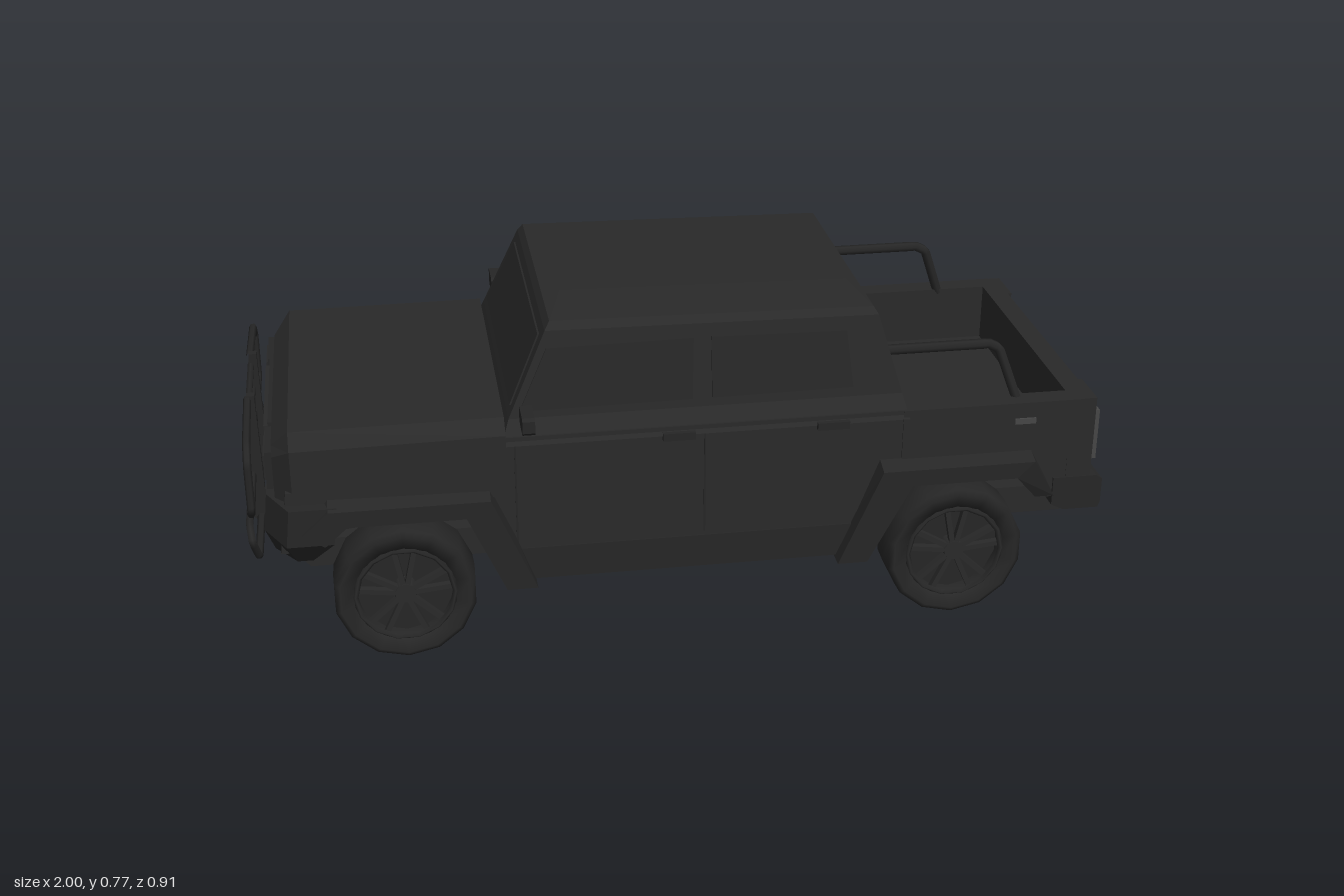
import * as THREE from 'three';

const mat = (name, color) => Object.assign(new THREE.MeshStandardMaterial({ color }), { name });
const V = (x, y, z) => new THREE.Vector3(x, y, z);

export function createModel() {
  const root = new THREE.Group();
  root.name = 'pickupTruck';
  const paint = mat('body paint', 0x292929);
  const trim = mat('dark trim', 0x262626);
  const glass = mat('tinted glass', 0x272727);
  const lamp = mat('lamp grey', 0x464646);

  const add = (name, geo, material, parent = root) => {
    const m = new THREE.Mesh(geo, material);
    m.name = name;
    parent.add(m);
    return m;
  };
  // box given by its limits on each axis
  const box = (name, x0, x1, y0, y1, z0, z1, material, parent) => {
    const g = new THREE.BoxGeometry(x1 - x0, y1 - y0, z1 - z0);
    g.translate((x0 + x1) / 2, (y0 + y1) / 2, (z0 + z1) / 2);
    return add(name, g, material, parent);
  };
  // side outline extruded across z
  const slab = (pts, z0, z1) => {
    const s = new THREE.Shape(pts.map(p => new THREE.Vector2(p[0], p[1])));
    return new THREE.ExtrudeGeometry(s, { depth: z1 - z0, bevelEnabled: false }).translate(0, 0, z0);
  };
  // move every vertex by a rule
  const bend = (g, rule) => {
    const p = g.attributes.position;
    for (let i = 0; i < p.count; i++) p.setXYZ(i, ...rule(p.getX(i), p.getY(i), p.getZ(i)));
    g.computeVertexNormals();
    return g;
  };
  // flat-sided skin through matching rings, closed at both ends
  const loft = rings => {
    const out = [], n = rings[0].length;
    const tri = (...ps) => ps.forEach(p => out.push(...p));
    for (let k = 0; k + 1 < rings.length; k++)
      for (let i = 0; i < n; i++) {
        const j = (i + 1) % n, a = rings[k], b = rings[k + 1];
        tri(a[i], a[j], b[j]);
        tri(a[i], b[j], b[i]);
      }
    const first = rings[0], last = rings[rings.length - 1];
    for (let i = 1; i + 1 < n; i++) {
      tri(first[0], first[i + 1], first[i]);
      tri(last[0], last[i], last[i + 1]);
    }
    const g = new THREE.BufferGeometry();
    g.setAttribute('position', new THREE.Float32BufferAttribute(out, 3));
    g.computeVertexNormals();
    return g;
  };
  const tube = (name, pts, r, parent = root) => {
    const path = new THREE.CurvePath();
    for (let i = 0; i + 1 < pts.length; i++) path.add(new THREE.LineCurve3(V(...pts[i]), V(...pts[i + 1])));
    return add(name, new THREE.TubeGeometry(path, 40, r, 6), trim, parent);
  };

  // lower body, open right across above the wheels
  add('lowerBody', slab([
    [-0.45, 0.22], [0.45, 0.22], [0.5, 0.35], [0.79, 0.35], [0.84, 0.27], [0.95, 0.27], [0.95, 0.38],
    [0.51, 0.38], [0.51, 0.52], [-0.42, 0.52], [-0.42, 0.42], [-0.9, 0.42], [-0.92, 0.27],
    [-0.83, 0.27], [-0.79, 0.35], [-0.5, 0.35],
  ], -0.375, 0.375), paint);
  // belly running between the wheels
  add('belly', slab([[-0.86, 0.18], [0.93, 0.18], [0.97, 0.25], [0.94, 0.28], [0.84, 0.25], [-0.83, 0.25], [-0.9, 0.28], [-0.92, 0.25]],
    -0.28, 0.28), paint);

  // hood and front fenders
  const hoodRing = (x, yb, ys, yt, hz, ht) =>
    [[x, yb, -hz], [x, ys, -hz], [x, yt, -ht], [x, yt, ht], [x, ys, hz], [x, yb, hz]];
  add('hood', loft([
    hoodRing(-0.925, 0.38, 0.49, 0.51, 0.33, 0.31),
    hoodRing(-0.885, 0.38, 0.52, 0.558, 0.375, 0.35),
    hoodRing(-0.41, 0.38, 0.53, 0.56, 0.385, 0.35),
  ]), paint);

  // cab with inward leaning sides and a roof falling to the rear
  const cabRing = (y, x0, x1, hz, drop = 0) =>
    [[x1, y - drop, -hz], [x0, y, -hz], [x0, y, hz], [x1, y - drop, hz]];
  add('cab', loft([
    cabRing(0.5, -0.42, 0.515, 0.38), cabRing(0.555, -0.4, 0.5, 0.352),
    cabRing(0.75, -0.312, 0.445, 0.323, 0.01), cabRing(0.768, -0.3, 0.435, 0.31, 0.012), cabRing(0.775, -0.26, 0.41, 0.15, 0.013),
  ]), paint);

  // side glass, leaning with the cab
  const windows = [
    ['frontSideWindow', [[-0.375, 0.572], [0.015, 0.575], [0.02, 0.715], [-0.31, 0.712]]],
    ['rearSideWindow', [[0.06, 0.575], [0.385, 0.578], [0.37, 0.71], [0.06, 0.715]]],
  ];
  for (const s of [1, -1])
    for (const [name, pts] of windows)
      add(name, bend(slab(pts, -0.004, 0.004), (x, y, z) => [x, y, z + s * (0.351 - (y - 0.56) * 0.149)]), glass);
  // windscreen
  add('windscreen', loft([cabRing(0.575, -0.395, -0.387, 0.32), cabRing(0.73, -0.325, -0.317, 0.29)]), glass);

  // cargo bed
  box('tailgate', 0.9, 0.95, 0.3, 0.52, -0.27, 0.27, paint);
  box('bedFrontWall', 0.49, 0.53, 0.36, 0.52, -0.33, 0.33, paint);

  for (const s of [1, -1]) {
    const side = new THREE.Group();
    side.name = s > 0 ? 'nearSide' : 'farSide';
    root.add(side);
    const sb = (name, x0, x1, y0, y1, z0, z1, m) =>
      box(name, x0, x1, y0, y1, Math.min(s * z0, s * z1), Math.max(s * z0, s * z1), m, side);
    sb('bedSide', 0.5, 0.93, 0.37, 0.52, 0.325, 0.378, paint);
    sb('rearPillar', 0.9, 0.96, 0.3, 0.52, 0.27, 0.376, paint);
    sb('tailLight', 0.94, 0.972, 0.36, 0.485, 0.315, 0.37, lamp);
    sb('tailLightStrip', 0.972, 0.976, 0.37, 0.45, 0.325, 0.332, trim);
    sb('bumperHook', 0.98, 1, 0.24, 0.275, 0.14, 0.205, trim);
    // handles, seams and fuel flap
    for (const x of [-0.02, 0.335]) sb('doorHandle', x - 0.037, x + 0.037, 0.49, 0.508, 0.37, 0.387, trim);
    for (const x of [-0.39, 0.04]) sb('doorSeam', x - 0.002, x + 0.002, 0.25, 0.5, 0.37, 0.377, trim);
    sb('sill', -0.42, 0.42, 0.16, 0.24, 0.3, 0.38, trim);
    sb('fuelFlap', 0.765, 0.815, 0.468, 0.482, 0.375, 0.382, lamp);
    // wheel arch flares, sloped on top
    const flare = (name, pts) => add(name, bend(slab(pts, s > 0 ? 0.33 : -0.415, s > 0 ? 0.415 : -0.33), (x, y, z) => [
      x, Math.abs(z) > 0.4 && y > 0.4 ? y - 0.03 : y, x > 0.82 && Math.abs(z) > 0.4 ? s * 0.39 : z]), trim, side);
    flare('frontFlare', [[-0.42, 0.155], [-0.35, 0.155], [-0.45, 0.415], [-0.81, 0.415], [-0.87, 0.33],
      [-0.82, 0.3], [-0.77, 0.345], [-0.505, 0.345]]);
    flare('rearFlare', [[0.42, 0.155], [0.52, 0.345], [0.77, 0.345], [0.825, 0.28], [0.87, 0.28],
      [0.81, 0.415], [0.45, 0.415], [0.35, 0.155]]);
    // bed rail
    tube('bedRail', [[0.44, 0.648, s * 0.315], [0.71, 0.648, s * 0.315], [0.735, 0.635, s * 0.315], [0.78, 0.51, s * 0.335]], 0.012, side);
    // door mirror
    const mirror = new THREE.Shape([[0.375, 0.575], [0.39, 0.56], [0.45, 0.56], [0.457, 0.567], [0.457, 0.595],
      [0.45, 0.601], [0.385, 0.601], [0.375, 0.595]].map(p => new THREE.Vector2(...p)));
    const mg = new THREE.ExtrudeGeometry(mirror, { depth: 0.028, bevelEnabled: false });
    mg.rotateY(-Math.PI / 2).translate(-0.35, 0, 0);
    if (s < 0) mg.rotateY(Math.PI).translate(-0.728, 0, 0);
    add('mirror', mg, trim, side);
    tube('mirrorArm', [[-0.364, 0.55, s * 0.345], [-0.364, 0.58, s * 0.385]], 0.01, side);
    // headlight with surround
    sb('headlightFrame', -0.94, -0.9, 0.41, 0.5, 0.19, 0.325, trim);
    sb('headlight', -0.945, -0.93, 0.425, 0.485, 0.205, 0.31, glass);
    // brush guard wing
    tube('guardLoop', [[-0.978, 0.54, s * 0.12], [-0.976, 0.53, s * 0.33], [-0.976, 0.49, s * 0.37], [-0.976, 0.38, s * 0.37],
      [-0.98, 0.35, s * 0.33], [-0.982, 0.35, s * 0.12]], 0.009, side);
    tube('lowerGuardLoop', [[-0.985, 0.33, s * 0.12], [-0.985, 0.33, s * 0.34], [-0.98, 0.3, s * 0.37], [-0.97, 0.25, s * 0.34],
      [-0.97, 0.24, s * 0.12]], 0.009, side);
    add('guardUpright', slab([[-0.988, 0.24], [-0.965, 0.22], [-0.955, 0.24], [-0.962, 0.55], [-0.98, 0.55], [-1, 0.3]],
      s * 0.12 - 0.01, s * 0.12 + 0.01), trim, side);
    sb('guardMount', -0.975, -0.88, 0.28, 0.31, 0.11, 0.13, trim);
  }

  // grille and guard crossbars
  box('grille', -0.935, -0.9, 0.4, 0.505, -0.18, 0.18, trim);
  for (let i = 0; i < 4; i++) box('grilleSlat', -0.945, -0.93, 0.41 + i * 0.024, 0.42 + i * 0.024, -0.17, 0.17, paint);
  for (const y of [0.52, 0.46, 0.4, 0.34, 0.25]) tube('guardCrossbar', [[-0.977, y, -0.12], [-0.977, y, 0.12]], 0.008);

  // bumpers
  const bumperRing = (y, x0, x1, h0, h1) =>
    [[x1, y, -h1], [x0 + 0.05, y, -h1], [x0, y, -h0], [x0, y, h0], [x0 + 0.05, y, h1], [x1, y, h1]];
  add('frontBumper', loft([
    bumperRing(0.24, -0.935, -0.85, 0.29, 0.36), bumperRing(0.3, -0.955, -0.8, 0.31, 0.405), bumperRing(0.39, -0.945, -0.79, 0.31, 0.405),
  ]), trim);
  add('rearBumper', slab([[0.87, 0.32], [0.87, 0.25], [0.9, 0.235], [0.985, 0.235], [0.99, 0.25], [0.99, 0.31], [0.975, 0.32]], -0.38, 0.38), trim);
  box('bumperStep', 0.98, 0.995, 0.28, 0.318, -0.065, 0.065, paint);
  box('plateHolder', 0.985, 0.996, 0.24, 0.262, -0.06, 0.06, trim);

  // wheels: smooth tyre, dished rim and five forked spokes
  const tyreProfile = [[0.118, -0.05], [0.15, -0.058], [0.162, -0.05], [0.164, 0], [0.162, 0.05], [0.15, 0.058],
    [0.118, 0.05], [0.112, 0.02], [0.112, -0.02], [0.118, -0.05]].map(p => new THREE.Vector2(...p));
  const tyreGeo = new THREE.LatheGeometry(tyreProfile, 14).rotateX(Math.PI / 2);
  const makeWheel = (x, s) => {
    const w = new THREE.Group();
    w.name = 'wheel';
    add('tyre', tyreGeo, trim, w);
    add('rimDish', new THREE.CylinderGeometry(0.116, 0.116, 0.03, 14).rotateX(Math.PI / 2), trim, w);
    add('rimRing', new THREE.TorusGeometry(0.113, 0.007, 4, 14).translate(0, 0, 0.048), paint, w);
    add('hub', new THREE.CylinderGeometry(0.024, 0.028, 0.035, 10).rotateX(Math.PI / 2).translate(0, 0, 0.03), paint, w);
    add('axleFlange', new THREE.CylinderGeometry(0.042, 0.042, 0.05, 10).rotateX(Math.PI / 2).translate(0, 0, -0.045), trim, w);
    for (let i = 0; i < 5; i++)
      for (const d of [-1, 1]) {
        const g = new THREE.BoxGeometry(0.095, 0.012, 0.016);
        g.rotateZ(d * 0.2).translate(0.065, d * 0.014, 0.038).rotateZ(i * Math.PI * 0.4 + 0.3);
        add('spoke', g, paint, w);
      }
    w.position.set(x, 0.164, s * 0.3625);
    if (s < 0) w.rotation.y = Math.PI;
    root.add(w);
  };
  for (const x of [-0.65, 0.63]) {
    makeWheel(x, 1);
    makeWheel(x, -1);
    add('axle', new THREE.CylinderGeometry(0.025, 0.025, 0.68, 8).rotateX(Math.PI / 2).translate(x, 0.165, 0), trim);
  }
  return root;
}
